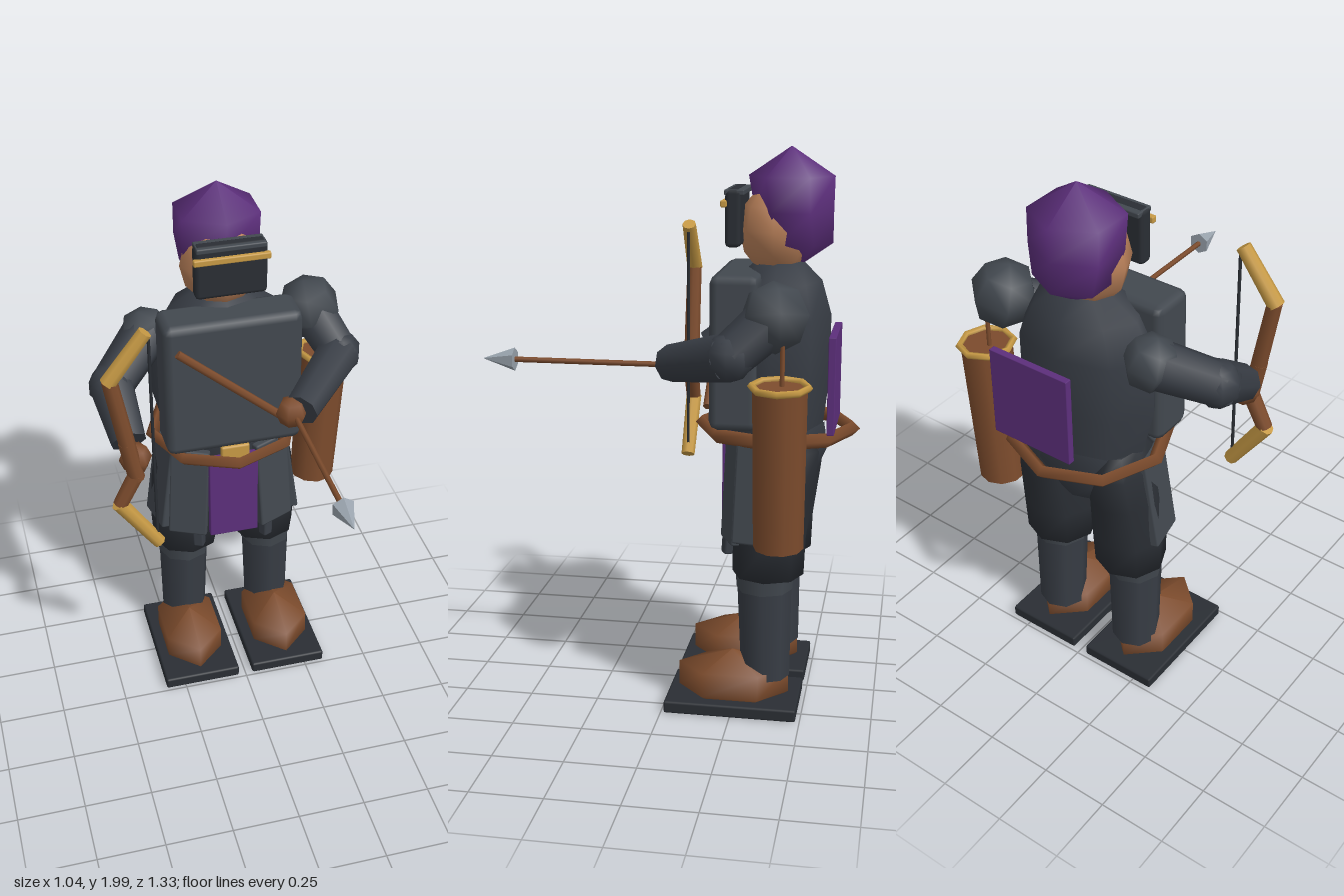
import * as THREE from 'three';
import { RoundedBoxGeometry } from 'three/addons/geometries/RoundedBoxGeometry.js';

const mat = (color, flatShading = false) =>
  new THREE.MeshStandardMaterial({ color, flatShading, roughness: 0.9 });
const M = {
  cloth: mat(0x383d45), plate: mat(0x42484f), dark: mat(0x2a2e34), leather: mat(0x7d4c2d),
  purple: mat(0x5d2f7c), gold: mat(0xc79a45), skin: mat(0xb98059), steel: mat(0x9aa4ae, true),
};

export function createModel() {
  const model = new THREE.Group();
  const V = (p) => new THREE.Vector3(...p);

  const add = (name, geo, material, pos = [0, 0, 0], rot = [0, 0, 0], scale = [1, 1, 1]) => {
    const m = new THREE.Mesh(geo, material);
    m.name = name;
    m.position.set(...pos);
    m.rotation.set(...rot);
    m.scale.set(...scale);
    model.add(m);
    return m;
  };
  const box = (name, size, material, pos, rot, bevel = 0.008) =>
    add(name, new RoundedBoxGeometry(...size, 1, bevel), material, pos, rot);

  // Tapered rod between two points
  const rod = (name, a, b, r0, r1, material, sides = 8) => {
    const from = V(a), dir = V(b).sub(from);
    const m = add(name, new THREE.CylinderGeometry(r1, r0, dir.length(), sides), material);
    m.position.copy(from).addScaledVector(dir, 0.5);
    m.quaternion.setFromUnitVectors(new THREE.Vector3(0, 1, 0), dir.normalize());
    return m;
  };

  // Solid through horizontal rings [y, radiusX, radiusZ, centreZ], lowest first
  const loft = (name, rings, sides, material, x = 0) => {
    const pos = [], idx = [];
    for (const [y, rx, rz, cz] of rings)
      for (let j = 0; j < sides; j++) {
        const a = (j / sides) * Math.PI * 2;
        pos.push(rx * Math.sin(a), y, cz + rz * Math.cos(a));
      }
    for (let i = 0; i < rings.length - 1; i++)
      for (let j = 0; j < sides; j++) {
        const k = (j + 1) % sides, a = i * sides, b = a + sides;
        idx.push(a + j, a + k, b + k, a + j, b + k, b + j);
      }
    const g = new THREE.BufferGeometry();
    g.setAttribute('position', new THREE.Float32BufferAttribute(pos, 3));
    g.setIndex(idx);
    g.computeVertexNormals();
    return add(name, g, material, [x, 0, 0]);
  };

  // Legs, boots and skirt plates, mirrored
  for (const [s, side] of [[1, 'left'], [-1, 'right']]) {
    box(side + 'Sole', [0.3, 0.045, 0.475], M.dark, [s * 0.178, 0.028, -0.248]);
    loft(side + 'Boot', [[0.04, 0.1, 0.17, -0.245], [0.06, 0.127, 0.2, -0.245],
      [0.15, 0.127, 0.2, -0.245], [0.21, 0.001, 0.001, -0.24]], 6, M.leather, s * 0.18);
    rod(side + 'Shin', [s * 0.175, 0.12, -0.36], [s * 0.17, 0.55, -0.35], 0.088, 0.1, M.cloth);
    rod(side + 'KneeBand', [s * 0.17, 0.45, -0.352], [s * 0.17, 0.52, -0.352], 0.1, 0.106, M.plate);
    loft(side + 'Thigh', [[0.5, 0.01, 0.01, -0.362], [0.505, 0.13, 0.128, -0.362],
      [0.64, 0.137, 0.13, -0.365], [0.82, 0.125, 0.145, -0.375], [0.96, 0.1, 0.15, -0.385],
      [1.03, 0.05, 0.1, -0.385]], 8, M.dark, s * 0.157);
    box(side + 'SkirtPlate', [0.15, 0.38, 0.035], M.plate, [s * 0.165, 0.81, -0.235],
      [-0.06, s * 0.4, s * 0.06]);
    box(side + 'HipPlate', [0.035, 0.36, 0.16], M.plate, [s * 0.25, 0.82, -0.33], [0, s * -0.2, s * 0.14]);
    box(side + 'SkirtStrap', [0.042, 0.26, 0.04], M.cloth, [s * 0.138, 0.69, -0.222],
      [-0.05, s * 0.5, s * -0.04]);
  }

  // Trunk
  loft('hips', [[0.74, 0.02, 0.02, -0.37], [0.8, 0.14, 0.11, -0.38], [0.93, 0.22, 0.17, -0.38],
    [1.03, 0.22, 0.17, -0.37]], 8, M.cloth);
  loft('torso', [[0.98, 0.21, 0.16, -0.37], [1.2, 0.265, 0.185, -0.37], [1.42, 0.265, 0.185, -0.37],
    [1.54, 0.2, 0.15, -0.37], [1.61, 0.09, 0.08, -0.37], [1.615, 0.001, 0.001, -0.37]], 8, M.cloth);
  box('chestPlate', [0.512, 0.54, 0.17], M.plate, [0, 1.31, -0.24], [0, 0, 0], 0.03);
  rod('chestStrap', [-0.21, 1.485, -0.15], [0.22, 1.12, -0.15], 0.016, 0.016, M.leather, 6);

  // Belt, buckle and cloths
  add('belt', new THREE.TorusGeometry(0.272, 0.026, 4, 8).rotateZ(Math.PI / 2).rotateX(Math.PI / 2),
    M.leather, [0, 1.01, -0.37]);
  box('buckle', [0.11, 0.085, 0.025], M.gold, [0, 1.007, -0.165]);
  box('frontCloth', [0.19, 0.365, 0.03], M.purple, [0, 0.797, -0.2], [0, 0, 0], 0.004);
  box('backCloth', [0.324, 0.34, 0.026], M.purple, [0.085, 1.21, -0.577], [0, 0, 0], 0.003);

  // Head, hood and visor
  rod('neck', [0, 1.52, -0.37], [0, 1.64, -0.37], 0.085, 0.08, M.skin);
  add('head', new THREE.SphereGeometry(1, 8, 6), M.skin, [0, 1.715, -0.36], [0, 0, 0], [0.15, 0.165, 0.135]);
  loft('hood', [[1.59, 0.001, 0.001, -0.44], [1.67, 0.14, 0.118, -0.437], [1.78, 0.162, 0.138, -0.417],
    [1.9, 0.163, 0.15, -0.407], [2.0, 0.001, 0.001, -0.405]], 6, M.purple);
  box('visor', [0.26, 0.2, 0.055], M.dark, [0, 1.76, -0.218], [0, 0, 0], 0.016);
  box('visorFrame', [0.25, 0.02, 0.07], M.plate, [0, 1.848, -0.222], [0, 0, 0], 0.005);
  box('visorStripe', [0.275, 0.024, 0.022], M.gold, [0, 1.81, -0.187], [0, 0, 0], 0.005);

  // Arms: shoulder, elbow, wrist, hand
  const arm = (side, sh, el, wr, hand, rShoulder) => {
    add(side + 'ShoulderPad', new THREE.SphereGeometry(rShoulder, 6, 4), M.plate, sh, [0, 0.3, 0.25]);
    rod(side + 'UpperArm', sh, el, 0.088, 0.078, M.cloth);
    add(side + 'Elbow', new THREE.SphereGeometry(0.084, 8, 5), M.cloth, el);
    rod(side + 'Forearm', el, wr, 0.083, 0.066, M.cloth);
    add(side + 'Hand', new THREE.SphereGeometry(0.06, 6, 4), M.leather, hand);
  };
  arm('left', [0.345, 1.46, -0.39], [0.42, 1.335, -0.25], [0.205, 1.265, -0.015], [0.175, 1.258, -0.025], 0.122);
  arm('right', [-0.275, 1.435, -0.4], [-0.435, 1.33, -0.25], [-0.415, 1.21, -0.06], [-0.4, 1.16, -0.025], 0.1);

  // Bow with string
  const z = 0.012;
  rod('bowUpperTip', [-0.35, 1.69, z], [-0.487, 1.51, z], 0.026, 0.03, M.gold);
  rod('bowUpperLimb', [-0.48, 1.52, z], [-0.43, 1.24, z], 0.028, 0.03, M.leather);
  rod('bowGrip', [-0.435, 1.26, z], [-0.405, 1.1, z], 0.03, 0.03, M.leather);
  rod('bowLowerLimb', [-0.405, 1.12, z], [-0.47, 0.995, z], 0.03, 0.028, M.leather);
  rod('bowLowerTip', [-0.475, 1.0, z], [-0.335, 0.795, z], 0.03, 0.026, M.gold);
  rod('bowString', [-0.34, 1.66, z], [-0.34, 0.82, z], 0.006, 0.006, M.dark, 5);

  // Arrow in hand
  rod('arrowShaft', [0.18, 1.255, -0.05], [0.18, 1.255, 0.56], 0.01, 0.01, M.leather, 6);
  rod('arrowHead', [0.18, 1.255, 0.55], [0.18, 1.255, 0.665], 0.042, 0.001, M.steel, 6);

  // Quiver
  rod('quiver', [0.385, 0.678, -0.42], [0.418, 1.24, -0.42], 0.086, 0.092, M.leather, 10);
  add('quiverRim', new THREE.TorusGeometry(0.096, 0.013, 5, 8).rotateX(Math.PI / 2), M.gold,
    [0.418, 1.242, -0.42], [0, 0, -0.06]);
  rod('quiverArrow', [0.4, 1.2, -0.425], [0.4, 1.38, -0.425], 0.008, 0.008, M.leather, 6);

  return model;
}
